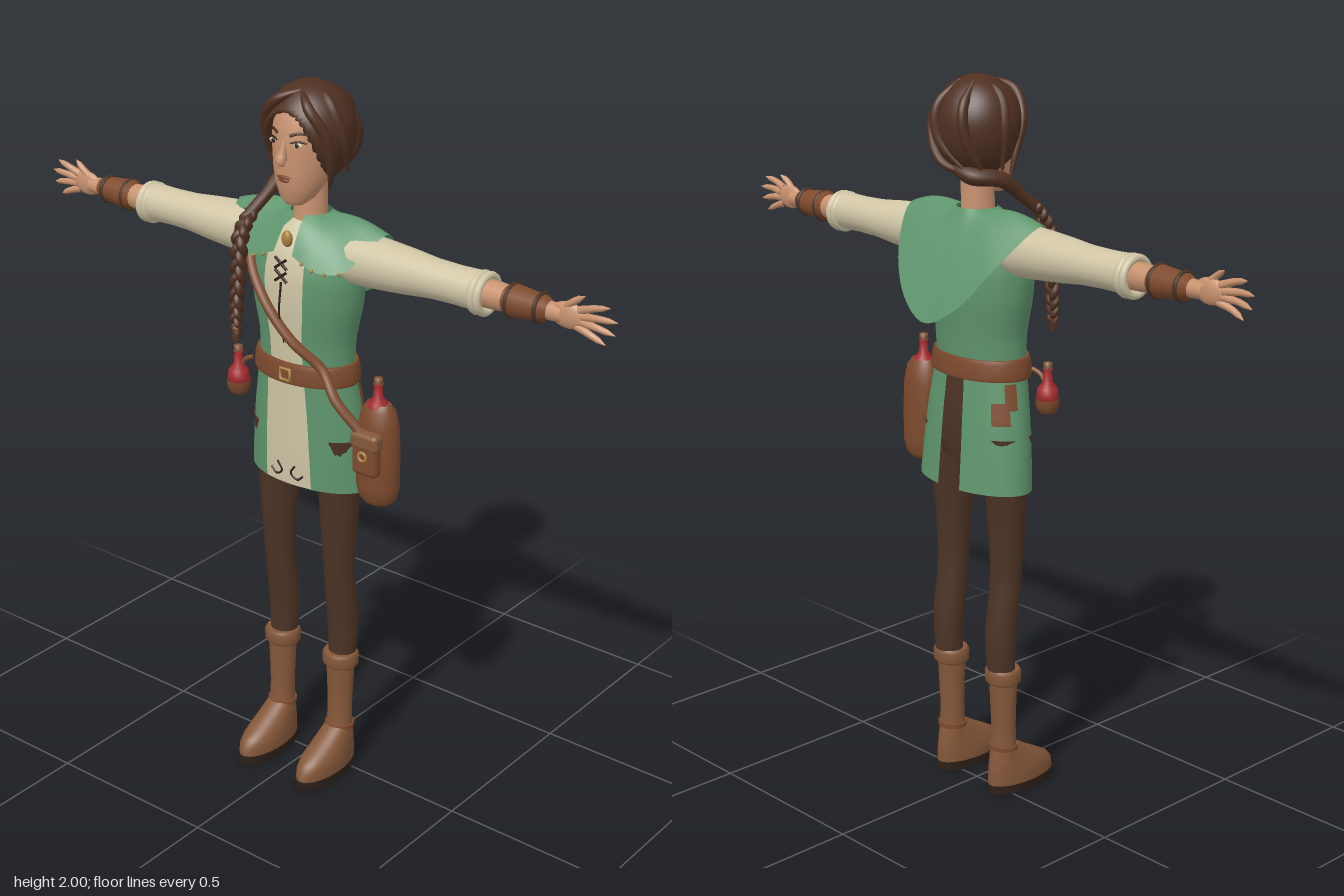
import * as THREE from 'three';
import { RoundedBoxGeometry } from 'three/addons/geometries/RoundedBoxGeometry.js';

const V = (x, y, z) => new THREE.Vector3(x, y, z);
const PI = Math.PI;

// Grid surface: fn(u, v) -> Vector3; u runs around, v runs along
function grid(nu, nv, fn, closed = false) {
  const pos = [], idx = [], w = closed ? nu : nu + 1;
  for (let j = 0; j <= nv; j++)
    for (let i = 0; i < w; i++) pos.push(...fn(i / nu, j / nv, j).toArray());
  for (let j = 0; j < nv; j++)
    for (let i = 0; i < nu; i++) {
      const a = j * w + i, b = j * w + (i + 1) % w, c = a + w, d = b + w;
      idx.push(a, b, d, a, d, c);
    }
  const g = new THREE.BufferGeometry();
  g.setAttribute('position', new THREE.Float32BufferAttribute(pos, 3));
  g.setIndex(idx);
  g.computeVertexNormals();
  return g;
}

// Rings are [y, half width, front z, back z]; angle 0 faces the front
const lerp = THREE.MathUtils.lerp;
function ringAt(rings, y) {
  let k = 0;
  while (k < rings.length - 2 && y > rings[k + 1][0]) k++;
  const t = THREE.MathUtils.clamp((y - rings[k][0]) / (rings[k + 1][0] - rings[k][0]), 0, 1);
  return [y, 1, 2, 3].map((n, i) => i ? lerp(rings[k][i], rings[k + 1][i], t) : y);
}
const onRing = (r, a, off = 0, cx = 0) =>
  V(cx + (r[1] + off) * Math.sin(a), r[0], (r[2] + r[3]) / 2 + ((r[2] - r[3]) / 2 + off) * Math.cos(a));
function panel(rings, a0, a1, y0, y1, off = 0, n = 24) {
  return grid(n, 16, (u, v) => onRing(ringAt(rings, lerp(y0, y1, v)), lerp(a0, a1, u), off));
}
// Closed solid through rings, with capped ends
function solid(rings, cx = 0, n = 28) {
  const first = rings[0], last = rings[rings.length - 1];
  const tip = r => [r[0], 0.0005, (r[2] + r[3]) / 2 + 0.0005, (r[2] + r[3]) / 2 - 0.0005];
  const all = [tip(first), first, ...rings, last, tip(last)];
  return grid(n, all.length - 1, (u, v, j) => onRing(all[j], u * 2 * PI, 0, cx), true);
}
// Tube along points with a radius that varies
function taper(points, radii, seg = 24, sides = 12) {
  const path = new THREE.CatmullRomCurve3(points);
  const g = new THREE.TubeGeometry(path, seg, 1, sides), p = g.attributes.position, v = V(0, 0, 0);
  for (let i = 0; i <= seg; i++) {
    const c = path.getPointAt(i / seg), f = (i / seg) * (radii.length - 1);
    const k = Math.min(Math.floor(f), radii.length - 2), r = lerp(radii[k], radii[k + 1], f - k);
    for (let j = 0; j <= sides; j++) {
      const n = i * (sides + 1) + j;
      v.fromBufferAttribute(p, n).sub(c).multiplyScalar(r).add(c);
      p.setXYZ(n, v.x, v.y, v.z);
    }
  }
  return g;
}
const ball = (c, sx, sy, sz) => new THREE.SphereGeometry(1, 20, 14).scale(sx, sy, sz).translate(c.x, c.y, c.z);

export function createModel() {
  const group = new THREE.Group();
  const mat = (name, color, side = THREE.FrontSide) => {
    const m = new THREE.MeshStandardMaterial({ color, side });
    m.name = name;
    return m;
  };
  const skin = mat('skin', 0xc8926f), hair = mat('hair', 0x4f3021), green = mat('green cloth', 0x5f956d, THREE.DoubleSide);
  const cream = mat('cream cloth', 0xcfc5a5, THREE.DoubleSide), leather = mat('leather', 0x7d4a2d), pants = mat('dark trousers', 0x4c3325);
  const boot = mat('boot leather', 0x845739), red = mat('red glass', 0xa82c30), dark = mat('dark trim', 0x2e2019), gold = mat('brass', 0xa9803f);
  const add = (name, geo, m) => {
    const mesh = new THREE.Mesh(geo, m);
    mesh.name = name;
    group.add(mesh);
    return mesh;
  };

  // Tunic, cream front and split skirt
  const body = [[1.22, .143, .108, -.076], [1.32, .143, .115, -.085], [1.42, .165, .124, -.096], [1.5, .172, .124, -.096],
    [1.57, .16, .108, -.085], [1.62, .1, .07, -.06], [1.645, .045, .045, -.045]];
  const skirt = [[.9, .19, .1, -.108], [1.0, .182, .104, -.1], [1.1, .17, .106, -.092], [1.24, .145, .11, -.078]];
  add('tunic', panel(body, .38, 2 * PI - .38, 1.22, 1.645, 0, 48), green);
  add('shirtFront', panel(body, -.4, .4, 1.22, 1.645, -.002), cream);
  add('skirtFrontPanel', panel(skirt, -.4, .4, .905, 1.24, .006), cream);
  for (const s of [-1, 1]) {
    const [a0, a1] = s > 0 ? [.36, PI - .22] : [PI + .22, 2 * PI - .36];
    add('skirtSide', panel(skirt, a0, a1, .9, 1.24), green);
    const patch = (b0, b1, y0, y1) => add('skirtPatch', panel(skirt, s > 0 ? b0 : -b1, s > 0 ? b1 : -b0, y0, y1, .005, 8), leather);
    patch(1.75, 2.05, 1.13, 1.2);
    patch(1.95, 2.35, 1.09, 1.15);
    // Curled embroidery at the hem
    add('embroidery', taper([[.03, .965], [.015, .94], [.035, .925], [.055, .94]].map(([x, y]) =>
      onRing(ringAt(skirt, y), s * x / .19, .007)), [.003, .003], 16, 6), dark);
  }
  add('pelvis', solid([[.97, .12, .075, -.07], [1.03, .15, .085, -.085], [1.12, .148, .09, -.085], [1.24, .13, .09, -.07]]), pants);

  // Belt and buckle
  add('belt', solid([[1.205, .158, .12, -.088], [1.215, .161, .123, -.091], [1.25, .157, .121, -.088], [1.262, .152, .117, -.084]], 0, 40), leather);
  add('buckle', new THREE.TorusGeometry(.022, .005, 8, 4).rotateZ(PI / 4).translate(.01, 1.233, .124), gold);

  // Shoulder cape, long at the back
  const half = [[.03, 1.565, .118], [.1, 1.54, .122], [.175, 1.545, .1], [.242, 1.636, .0], [.195, 1.55, -.1], [.105, 1.425, -.168]];
  const rim = new THREE.CatmullRomCurve3([...half.map(p => V(...p)), V(0, 1.37, -.19),
    ...half.slice().reverse().map(([x, y, z]) => V(-x, y, z))]);
  add('cape', grid(72, 12, (u, v) => {
    const a = lerp(.35, 2 * PI - .35, u);
    const p = V(.055 * Math.sin(a), 1.655, .053 * Math.cos(a)).lerp(rim.getPoint(u), v);
    p.y += .014 * Math.sin(PI * v);
    return p;
  }), green);
  for (const u of [.04, .08, .12, .16, .84, .88, .92, .96]) add('capeStud', ball(rim.getPoint(u), .005, .005, .005), gold);
  add('brooch', ball(V(0, 1.6, .1), .016, .022, .012), gold);
  for (const y of [1.49, 1.525])
    for (const s of [-1, 1]) add('lacing', taper([V(-.02 * s, y, .126), V(.02 * s, y + .03, .125)], [.004, .004], 4, 6), dark);
  add('laceEnd', taper([V(0, 1.49, .126), V(-.006, 1.4, .127), V(.004, 1.32, .12)], [.003, .002], 10, 6), dark);

  // Head, neck and face
  const head = [[1.688, .025, .09, .04], [1.705, .045, .102, .01], [1.74, .064, .11, -.03], [1.78, .078, .114, -.07],
    [1.85, .088, .114, -.09], [1.92, .084, .108, -.09], [1.96, .06, .08, -.07]];
  const face = (x, y, off = 0) => onRing(ringAt(head, y), Math.asin(x / ringAt(head, y)[1]), off);
  add('head', solid(head, 0, 36), skin);
  add('neck', solid([[1.6, .055, .055, -.05], [1.65, .043, .05, -.042], [1.76, .042, .045, -.045]]), skin);
  add('nose', taper([V(0, 1.865, .108), V(0, 1.83, .118), V(0, 1.81, .124), V(0, 1.798, .112)], [.005, .01, .016, .004], 14), skin);
  add('upperLip', ball(face(0, 1.768), .022, .005, .006), leather);
  add('lowerLip', ball(face(0, 1.76), .017, .006, .006), leather);
  for (const s of [-1, 1]) {
    add('eye', ball(face(.038 * s, 1.856), .015, .007, .004), cream);
    add('iris', ball(face(.037 * s, 1.856, .002), .006, .0065, .004), dark);
    add('eyelid', taper([.02, .038, .057].map((x, i) => face(x * s, 1.86 + (i === 1 ? .005 : 0), .001)), [.002, .003, .002], 8, 6), dark);
    add('brow', taper([.018, .04, .062].map((x, i) => face(x * s, [1.878, 1.886, 1.878][i], .001)), [.004, .004, .001], 8, 6), hair);
  }

  // Hair cap, pushed in where the face shows
  add('hairCap', grid(64, 48, (u, v) => {
    const a = u * 2 * PI, e = (v - .5) * PI * .999, dy = Math.sin(e), c = Math.cos(e);
    const p = V(.12 * c * Math.sin(a), 1.872 + dy * (dy > 0 ? .126 : .145), .003 + .116 * c * Math.cos(a));
    if (p.z > 0) {
      const f = ((p.x + .004) / .084) ** 2 + ((p.y - 1.795) / .135) ** 2;
      p.z *= lerp(.4, 1, THREE.MathUtils.smoothstep(f, .75, 1.05));
    }
    return p;
  }, true), hair);
  const locks = [
    [[.0, 1.985, .04], [.06, 1.95, .088], [.1, 1.88, .068], [.098, 1.79, .045], [.075, 1.73, .02]],
    [[.01, 1.99, .0], [.085, 1.95, .03], [.115, 1.87, .02], [.1, 1.77, -.02]],
    [[.02, 1.985, .04], [-.04, 1.958, .09], [-.09, 1.895, .075], [-.1, 1.81, .045], [-.095, 1.74, .03]],
    [[.0, 1.99, -.01], [-.085, 1.95, -.0], [-.113, 1.87, -.01], [-.095, 1.76, .0]],
    [[.02, 1.985, -.04], [.04, 1.92, -.102], [.03, 1.84, -.108], [-.03, 1.76, -.075]],
    [[.07, 1.95, -.05], [.09, 1.87, -.075], [.05, 1.78, -.085], [-.04, 1.745, -.065]],
    [[-.03, 1.985, -.04], [-.05, 1.92, -.098], [-.06, 1.84, -.095], [-.07, 1.76, -.05]]];
  for (const l of locks) add('hairLock', taper(l.map(p => V(...p)), [.004, .014, .015, .012, .004]), hair);

  // Side braid made of three woven strands
  add('braidRoot', taper([V(.03, 1.765, -.07), V(-.05, 1.745, -.06), V(-.09, 1.735, .0), V(-.1, 1.69, .06), V(-.115, 1.645, .115)],
    [.01, .024, .022, .016, .016], 30), hair);
  const braid = new THREE.CatmullRomCurve3([V(-.112, 1.66, .1), V(-.12, 1.6, .14), V(-.12, 1.5, .153), V(-.122, 1.4, .162), V(-.118, 1.33, .168)]);
  for (let k = 0; k < 3; k++) {
    const pts = Array.from({ length: 41 }, (_, i) => {
      const t = i / 40, a = t * 22 + k * 2 * PI / 3, w = 1 - .35 * t;
      return braid.getPoint(t).add(V(.014 * w * Math.sin(a), 0, .007 * w * Math.sin(2 * a)));
    });
    add('braidStrand', taper(pts, [.009, .013, .012, .011, .008], 80, 8), hair);
  }
  add('braidTie', ball(V(-.118, 1.345, .167), .014, .01, .013), leather);
  add('braidTip', taper([V(-.118, 1.34, .167), V(-.118, 1.32, .17), V(-.118, 1.3, .17)], [.01, .012, .001], 10), hair);

  for (const s of [-1, 1]) {
    // Sleeve, bracer and forearm
    const y = 1.56, at = (x, z = .008, dy = 0) => V(s * x, y + dy, z);
    add('sleeve', taper([at(.1), at(.2), at(.33), at(.45), at(.545)], [.06, .07, .066, .06, .052, .05, .052], 28, 20), cream);
    for (const x of [.54, .558]) add('sleeveCuff', new THREE.TorusGeometry(.047, .011, 10, 24).rotateY(PI / 2).translate(s * x, y - .003, .008), cream);
    add('forearm', taper([at(.5), at(.63), at(.78, .01)], [.038, .036, .026, .022], 16, 16), skin);
    add('bracer', taper([at(.612), at(.68), at(.742)], [.03, .043, .041, .039, .037, .035, .034, .025], 28, 20), leather);
    for (const [x, r] of [[.635, .04], [.715, .035]]) add('bracerStrap', new THREE.TorusGeometry(r, .006, 8, 24).rotateY(PI / 2).translate(s * x, y, .008), pants);
    // Hand with spread fingers
    add('palm', ball(at(.795, .012, .002), .05, .034, .015), skin);
    const fingers = [[.785, .02, .838, .06], [.825, .022, .908, .046], [.835, .008, .93, .014], [.832, -.006, .925, -.02], [.82, -.02, .9, -.05]];
    fingers.forEach(([x0, y0, x1, y1], i) => add(i ? 'finger' : 'thumb', taper(
      [at(x0, .012, y0), at((x0 + x1) / 2, .015, (y0 + y1) / 2 + .003), at(x1, .01, y1)], [.011, .01, .009, .008, .001], 12, 8), skin));

    // Leg, boot and sole
    const cx = s * .105;
    add('leg', solid([[.34, .038, .03, -.042], [.42, .043, .03, -.05], [.5, .046, .035, -.05], [.6, .044, .048, -.036], [.66, .045, .053, -.032],
      [.76, .051, .06, -.037], [.9, .058, .07, -.05], [1.05, .07, .08, -.07]], cx), pants);
    add('bootShaft', solid([[.1, .042, .05, -.036], [.14, .037, .038, -.032], [.2, .036, .035, -.03], [.28, .039, .036, -.034], [.35, .042, .04, -.038]], cx), boot);
    add('bootCuff', solid([[.33, .046, .042, -.042], [.338, .052, .048, -.048], [.365, .053, .049, -.049], [.374, .047, .044, -.044]], cx), boot);
    add('bootFoot', solid([[.025, .052, .184, -.046], [.05, .053, .182, -.046], [.07, .051, .165, -.045], [.09, .047, .13, -.042],
      [.115, .042, .085, -.038], [.14, .036, .045, -.033]], cx, 36), boot);
    add('bootStrap', solid([[.13, .042, .045, -.037], [.142, .042, .043, -.037]], cx), leather);
    add('sole', solid([[0, .052, .187, -.047], [.026, .054, .189, -.049]], cx, 36), dark);
  }

  // Cross strap and satchel
  const strap = [[-.14, 1.57], [-.12, 1.51], [-.05, 1.42], [.03, 1.33], [.1, 1.26]].map(([x, y]) => {
    const r = ringAt(body, y);
    return onRing(r, Math.asin(x / r[1]), .007);
  });
  add('strap', taper([...strap, V(.16, 1.19, .1), V(.225, 1.12, .085)], [.014, .014], 50, 10), leather);
  add('satchel', solid([[.9, .04, .06, 0], [.915, .055, .07, -.012], [.95, .063, .078, -.02], [1.05, .063, .078, -.02], [1.12, .059, .074, -.018],
    [1.165, .05, .066, -.01], [1.185, .035, .05, .005]], .248, 32), leather);
  add('satchelPocket', new RoundedBoxGeometry(.08, .095, .035, 3, .014).translate(.25, 1.045, .083), leather);
  add('satchelFlap', new RoundedBoxGeometry(.088, .05, .042, 3, .014).translate(.25, 1.095, .082), boot);
  add('satchelBuckle', new THREE.TorusGeometry(.012, .004, 8, 16).translate(.25, 1.055, .102), gold);

  // Red flasks
  const lathe = pts => new THREE.LatheGeometry(pts.map(p => new THREE.Vector2(...p)), 20);
  for (const [x, y, z] of [[-.188, 1.12, .08], [.246, 1.125, .03]]) {
    add('flask', lathe([[0, .01], [.026, .015], [.03, .04], [.027, .06], [.013, .078], [.011, .11], [.014, .114], [0, .114]]).translate(x, y, z), red);
    add('cork', lathe([[0, .11], [.011, .11], [.012, .13], [0, .132]]).translate(x, y, z), boot);
    add('flaskHolder', lathe([[0, -.01], [.022, -.008], [.031, .01], [.033, .03], [.031, .03]]).translate(x, y, z), leather);
  }
  add('flaskLoop', taper([V(-.14, 1.225, .07), V(-.165, 1.215, .075), V(-.182, 1.19, .078)], [.007, .006], 10, 8), leather);
  return group;
}
